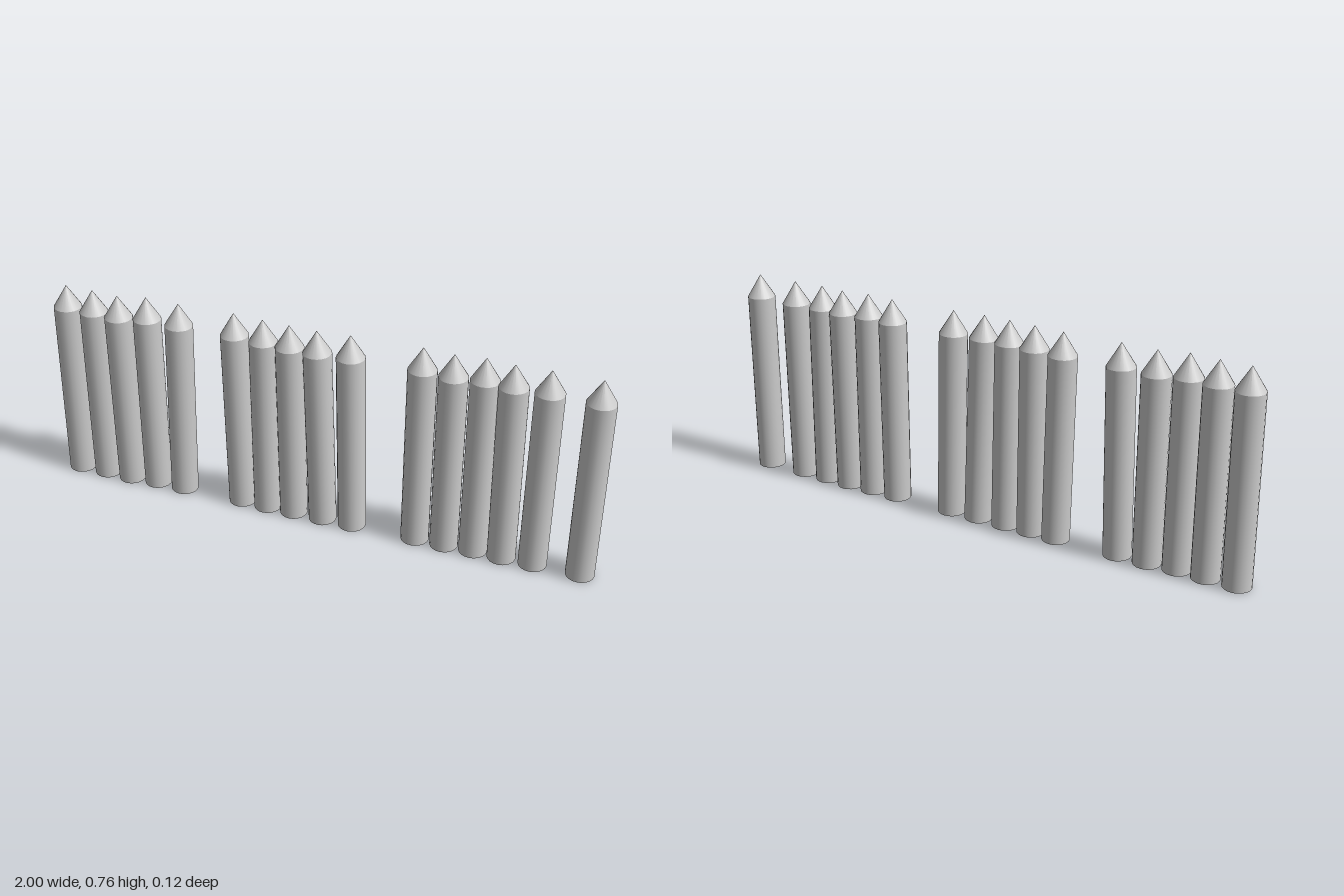
import * as THREE from 'three';

const RADIUS = 0.05, BASE = 0.003, SHOULDER = 0.68, TIP = 0.762, SIDES = 20;

// Each stake: base x, tip x, base z, tip z
const SECTIONS = {
  rightSection: [
    [-0.954, -0.947, 0, 0], [-0.846, -0.842, 0, 0.004], [-0.743, -0.741, 0.003, 0.012],
    [-0.638, -0.642, -0.003, -0.012], [-0.529, -0.516, -0.002, -0.007],
  ],
  middleSection: [
    [-0.295, -0.311, -0.003, -0.01], [-0.195, -0.2, 0, 0], [-0.094, -0.102, 0, 0.006],
    [0.017, -0.003, 0, 0.009], [0.128, 0.113, 0, 0],
  ],
  leftSection: [
    [0.362, 0.361, 0, -0.005], [0.468, 0.468, 0, 0.004], [0.572, 0.57, -0.002, -0.01],
    [0.674, 0.666, 0, 0], [0.783, 0.783, 0, -0.004],
  ],
  endStake: [[0.947, 0.947, 0, 0]],
};

export function createModel() {
  const model = new THREE.Group();
  model.name = 'palisade';
  const material = new THREE.MeshStandardMaterial({ color: 0xcccccc });

  // Round shaft and sharpened point, both measured up from the stake's foot
  const shaftHeight = SHOULDER - BASE, pointHeight = TIP - SHOULDER;
  const shaft = new THREE.CylinderGeometry(RADIUS, RADIUS, shaftHeight, SIDES);
  shaft.translate(0, shaftHeight / 2, 0);
  const point = new THREE.ConeGeometry(RADIUS, pointHeight, SIDES, 1, true);
  point.translate(0, shaftHeight + pointHeight / 2, 0);

  const up = new THREE.Vector3(0, 1, 0);
  for (const [name, stakes] of Object.entries(SECTIONS)) {
    const section = new THREE.Group();
    section.name = name;
    for (const [x0, x1, z0, z1] of stakes) {
      // Lean each stake from its foot towards its tip
      const stake = new THREE.Group();
      stake.name = 'stake';
      const lean = new THREE.Vector3(x1 - x0, TIP - BASE, z1 - z0).normalize();
      stake.quaternion.setFromUnitVectors(up, lean);
      stake.position.set(x0, BASE, z0);
      for (const [part, geometry] of [['shaft', shaft], ['point', point]]) {
        const mesh = new THREE.Mesh(geometry, material);
        mesh.name = part;
        stake.add(mesh);
      }
      section.add(stake);
    }
    model.add(section);
  }
  return model;
}
